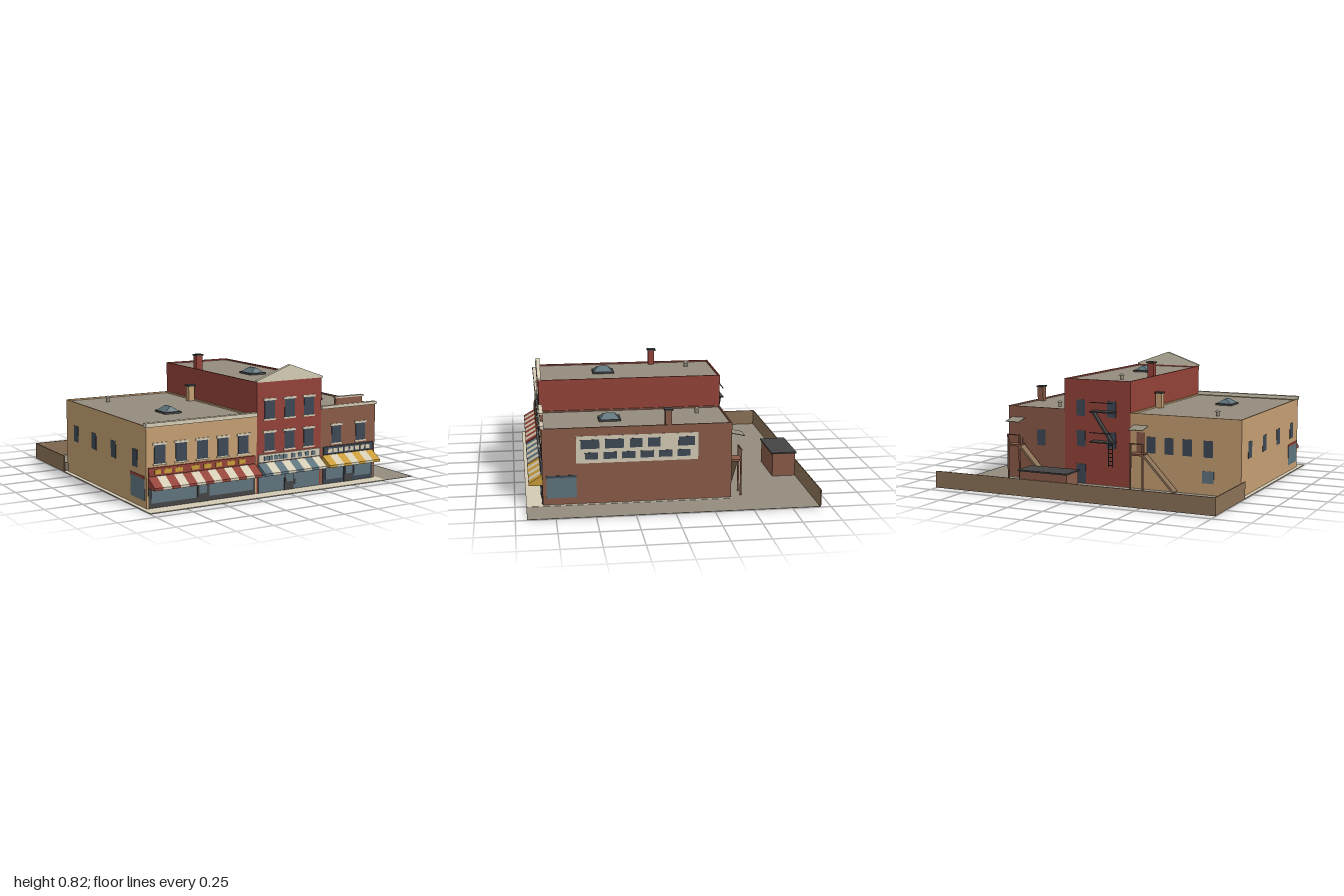
import * as THREE from 'three';

const mat = (name, color) => {
  const m = new THREE.MeshStandardMaterial({ color });
  m.name = name;
  return m;
};

export function createModel() {
  const root = new THREE.Group();
  root.name = 'shopBlock';
  const tan = mat('tanBrick', 0xc49f72), red = mat('redBrick', 0x934238), brown = mat('brownBrick', 0x895b48);
  const stone = mat('paleStone', 0xd4cbb4), navy = mat('darkGlass', 0x3d4854), blue = mat('shopGlass', 0x5e737c);
  const grey = mat('roofAndYard', 0x948c7e), dark = mat('darkMetal', 0x444444);
  const yellow = mat('yellowPaint', 0xc99b38), wood = mat('weatheredWood', 0x8b7157);

  const add = (name, geo, m, parent = root) => {
    const mesh = new THREE.Mesh(geo, m);
    mesh.name = name;
    parent.add(mesh);
    return mesh;
  };
  // Box given by its extents on each axis
  const box = (name, m, x0, x1, y0, y1, z0, z1, parent) => {
    const b = add(name, new THREE.BoxGeometry(x1 - x0, y1 - y0, z1 - z0), m, parent);
    b.position.set((x0 + x1) / 2, (y0 + y1) / 2, (z0 + z1) / 2);
    return b;
  };
  // Square bar between two points
  const bar = (name, m, a, b, w, d, parent) => {
    const p = new THREE.Vector3(...a), q = new THREE.Vector3(...b);
    const s = add(name, new THREE.BoxGeometry(w, d, p.distanceTo(q)), m, parent);
    s.position.copy(p).add(q).multiplyScalar(0.5);
    s.lookAt(q);
    return s;
  };
  const group = (name) => {
    const g = new THREE.Group();
    g.name = name;
    root.add(g);
    return g;
  };

  const ZB = -0.4, ZF = 0.822;

  // Yard, pavement slab under the buildings, and boundary wall
  box('yard', grey, -1, 1, 0.002, 0.004, -0.935, 0.928);
  box('pavement', stone, -1, 0.77, 0, 0.006, ZB, 0.928);
  box('backWall', wood, -1, 1, 0.004, 0.115, -0.935, -0.928);
  box('leftYardWall', wood, -1, -0.993, 0.004, 0.115, -0.928, ZB);

  // Roof skylight: curb and hipped glass
  const skylight = (x, y, g) => {
    box('skylightCurb', dark, x - 0.06, x + 0.06, y, y + 0.012, 0.3, 0.445, g);
    const geo = new THREE.BoxGeometry(0.1, 0.03, 0.125).toNonIndexed();
    const p = geo.attributes.position;
    for (let i = 0; i < p.count; i++)
      if (p.getY(i) > 0) { p.setX(i, p.getX(i) * 0.12); p.setZ(i, p.getZ(i) * 0.57); }
    geo.computeVertexNormals();
    add('skylightGlass', geo, blue, g).position.set(x, y + 0.027, 0.373);
  };
  const vent = (x, y, g) => {
    add('ventPipe', new THREE.CylinderGeometry(0.013, 0.013, 0.03, 8), grey, g).position.set(x, y + 0.015, -0.22);
    add('ventCap', new THREE.ConeGeometry(0.021, 0.016, 6), grey, g).position.set(x, y + 0.036, -0.22);
  };
  const chimney = (m, x, y0, y1, g) => {
    box('chimney', m, x - 0.023, x + 0.023, y0, y1 - 0.01, -0.01, 0.032, g);
    box('chimneyCap', dark, x - 0.028, x + 0.028, y1 - 0.01, y1, -0.02, 0.038, g);
  };
  // Upper window with lintel and sill, facing +z
  const frontWindow = (x, y0, y1, g) => {
    box('windowGlass', navy, x - 0.038, x + 0.038, y0, y1, ZF, ZF + 0.003, g);
    box('windowLintel', stone, x - 0.048, x + 0.048, y1, y1 + 0.014, ZF, ZF + 0.006, g);
    box('windowSill', stone, x - 0.046, x + 0.046, y0 - 0.01, y0, ZF, ZF + 0.007, g);
  };
  const backPane = (x, y0, y1, g, m = navy, w = 0.065) =>
    box('backPane', m, x - w / 2, x + w / 2, y0, y1, ZB - 0.002, ZB, g);

  // Striped awning: wedge-shaped slices side by side
  const awning = (x0, x1, n, m, g) => {
    const s = new THREE.Shape([[0, 0.2], [-0.088, 0.148], [-0.088, 0.132], [0, 0.132]].map(p => new THREE.Vector2(...p)));
    const w = (x1 - x0) / n;
    for (let i = 0; i < n; i++) {
      const a = add('awningStripe', new THREE.ExtrudeGeometry(s, { depth: w, bevelEnabled: false }), i % 2 ? stone : m, g);
      a.rotation.y = Math.PI / 2;
      a.position.set(x0 + w * i, 0, ZF);
    }
  };
  // Shop front: base, panes, central door, sign board with plain blocks
  const shop = (x0, x1, frame, sign, blockMat, blocks, doorX, g) => {
    box('shopFrame', frame, x0, x1, 0.006, 0.132, ZF, ZF + 0.004, g);
    box('shopPaneA', blue, x0 + 0.018, doorX - 0.046, 0.036, 0.13, ZF + 0.004, ZF + 0.008, g);
    box('shopPaneB', blue, doorX + 0.046, x1 - 0.018, 0.036, 0.13, ZF + 0.004, ZF + 0.008, g);
    box('shopDoor', dark, doorX - 0.036, doorX + 0.036, 0.006, 0.13, ZF + 0.004, ZF + 0.008, g);
    box('shopDoorGlass', blue, doorX - 0.027, doorX + 0.027, 0.06, 0.13, ZF + 0.008, ZF + 0.011, g);
    box('signBoard', sign, x0, x1, 0.204, 0.256, ZF, ZF + 0.01, g);
    for (const [c, w] of blocks)
      box('signBlock', blockMat, c - w / 2, c + w / 2, 0.215, 0.243, ZF + 0.01, ZF + 0.013, g);
  };

  // Body with sunk roof and thin parapets
  const building = (name, m, x0, x1, h, lightX, ventX) => {
    const g = group(name), r = h - 0.01, t = 0.01;
    box('walls', m, x0, x1, 0.004, r - 0.003, ZB, ZF, g);
    box('roof', grey, x0 + t, x1 - t, r - 0.003, r, ZB + t, ZF - t, g);
    box('parapetLeft', m, x0, x0 + t, r - 0.003, h, ZB, ZF, g);
    box('parapetRight', m, x1 - t, x1, r - 0.003, h, ZB, ZF, g);
    box('parapetBack', m, x0 + t, x1 - t, r - 0.003, h, ZB, ZB + t, g);
    box('parapetFront', m, x0 + t, x1 - t, r - 0.003, h, ZF - t, ZF, g);
    skylight(lightX, r, g);
    vent(ventX, r, g);
    return g;
  };

  // Tan building
  const A = building('tanBuilding', tan, -0.972, -0.19, 0.51, -0.585, -0.74);
  box('cornice', stone, -0.978, -0.195, 0.505, 0.53, 0.8, 0.835, A);
  for (const x of [-0.88, -0.733, -0.586, -0.438, -0.29]) frontWindow(x, 0.278, 0.392, A);
  shop(-0.96, -0.205, dark, red, yellow,
    [[-0.9, 0.04], [-0.83, 0.05], [-0.755, 0.05], [-0.64, 0.055], [-0.555, 0.055], [-0.475, 0.045], [-0.385, 0.055], [-0.305, 0.05]], -0.585, A);
  awning(-0.96, -0.2, 13, red, A);
  chimney(tan, -0.223, 0.5, 0.61, A);
  for (const x of [-0.745, -0.6, -0.47, -0.34]) backPane(x, 0.25, 0.36, A);
  backPane(-0.745, 0.08, 0.16, A, blue, 0.08);
  for (const z of [-0.235, 0.06, 0.36, 0.67]) box('sideWindow', navy, -0.974, -0.972, 0.24, 0.35, z - 0.036, z + 0.036, A);
  box('sideShopPane', blue, -0.974, -0.972, 0.05, 0.185, 0.605, 0.8, A);
  box('sideShopHeader', red, -0.975, -0.972, 0.185, 0.202, 0.605, 0.8, A);

  // Red building with gabled front
  const B = building('redBuilding', red, -0.19, 0.305, 0.72, 0.058, -0.04);
  const gable = new THREE.Shape([[-0.195, 0.72], [0.31, 0.72], [0.31, 0.73], [0.058, 0.82], [-0.195, 0.73]].map(p => new THREE.Vector2(...p)));
  add('gable', new THREE.ExtrudeGeometry(gable, { depth: 0.025, bevelEnabled: false }), stone, B).position.z = 0.803;
  for (const x of [-0.095, 0.058, 0.207]) {
    frontWindow(x, 0.278, 0.392, B);
    frontWindow(x, 0.483, 0.6, B);
  }
  shop(-0.178, 0.295, blue, stone, blue,
    [-0.125, -0.088, -0.052, -0.016, 0.02, 0.085, 0.135, 0.19, 0.243].map(x => [x, 0.03]), 0.055, B);
  awning(-0.18, 0.295, 8, blue, B);
  chimney(red, -0.16, 0.71, 0.818, B);
  for (const x of [0.18, -0.05]) for (const y of [0.26, 0.47]) backPane(x, y, y + 0.11, B);
  backPane(0.18, 0.006, 0.14, B, navy, 0.07);

  // Brown building with raised parapet and side sign panel
  const C = building('brownBuilding', brown, 0.305, 0.75, 0.51, 0.528, 0.44);
  box('cornice', stone, 0.307, 0.752, 0.51, 0.53, 0.805, 0.832, C);
  box('raisedParapet', brown, 0.42, 0.636, 0.53, 0.574, 0.807, 0.825, C);
  box('raisedParapetCap', stone, 0.413, 0.643, 0.574, 0.584, 0.803, 0.83, C);
  for (const x of [0.43, 0.628]) frontWindow(x, 0.278, 0.392, C);
  shop(0.325, 0.732, navy, navy, stone, [...Array(8).keys()].map(i => [0.375 + i * 0.044, 0.033]), 0.53, C);
  awning(0.32, 0.732, 7, yellow, C);
  chimney(brown, 0.718, 0.5, 0.61, C);
  box('sidePanel', stone, 0.75, 0.752, 0.275, 0.455, -0.18, 0.605, C);
  for (const [c, w] of [[0.517, 0.12], [0.361, 0.12], [0.221, 0.08], [0.105, 0.08], [-0.105, 0.105]])
    box('panelUpperBlock', navy, 0.752, 0.754, 0.37, 0.43, c - w / 2, c + w / 2, C);
  for (let i = 0; i < 6; i++)
    box('panelLowerBlock', navy, 0.752, 0.754, 0.3, 0.345, 0.465 - i * 0.119, 0.55 - i * 0.119, C);
  box('sideShopPane', blue, 0.75, 0.752, 0.05, 0.185, 0.605, 0.797, C);
  box('sideShopHeader', navy, 0.75, 0.753, 0.185, 0.2, 0.605, 0.797, C);
  backPane(0.49, 0.245, 0.355, C);

  // Wooden back stairs with landing, rail and sloping canopy
  for (const [x, name] of [[-0.267, 'leftBackStairs'], [0.67, 'rightBackStairs']]) {
    const g = group(name), x0 = x - 0.05, x1 = x + 0.05;
    box('landing', brown, x0, x1, 0.238, 0.25, -0.475, ZB, g);
    box('landingDoor', brown, x - 0.03, x + 0.03, 0.25, 0.385, ZB - 0.002, ZB, g);
    for (const px of [x0 + 0.005, x1 - 0.005])
      box('post', brown, px - 0.005, px + 0.005, 0.004, 0.32, -0.475, -0.465, g);
    bar('landingRail', brown, [x0, 0.317, -0.47], [x1, 0.317, -0.47], 0.007, 0.007, g);
    bar('stairFlight', wood, [x0, 0.24, -0.445], [x0 - 0.215, 0.012, -0.445], 0.06, 0.014, g);
    bar('canopy', grey, [x, 0.43, ZB], [x, 0.41, -0.49], 0.105, 0.004, g);
  }

  // Metal fire escape
  const F = group('fireEscape');
  for (const y of [0.31, 0.515]) {
    box('platform', dark, -0.09, 0.083, y - 0.008, y, -0.47, ZB, F);
    bar('platformRail', dark, [-0.09, y + 0.06, -0.467], [0.083, y + 0.06, -0.467], 0.005, 0.005, F);
  }
  bar('escapeFlight', dark, [0.07, 0.51, -0.437], [-0.07, 0.31, -0.437], 0.036, 0.012, F);
  for (const x of [-0.075, -0.045]) box('ladderSide', dark, x - 0.003, x + 0.003, 0.14, 0.31, -0.44, -0.434, F);
  for (let i = 0; i < 6; i++) box('ladderRung', dark, -0.075, -0.045, 0.15 + i * 0.027, 0.155 + i * 0.027, -0.44, -0.434, F);

  // Yard shed and bins
  box('shed', brown, 0.01, 0.355, 0.004, 0.165, -0.926, -0.768);
  box('shedRoof', dark, 0.003, 0.365, 0.165, 0.174, -0.934, -0.758);
  for (const x of [-0.96, -0.918]) {
    add('binBody', new THREE.CylinderGeometry(0.016, 0.014, 0.05, 12), grey).position.set(x, 0.029, -0.435);
    add('binLid', new THREE.CylinderGeometry(0.016, 0.018, 0.006, 12), grey).position.set(x, 0.057, -0.435);
  }
  return root;
}
